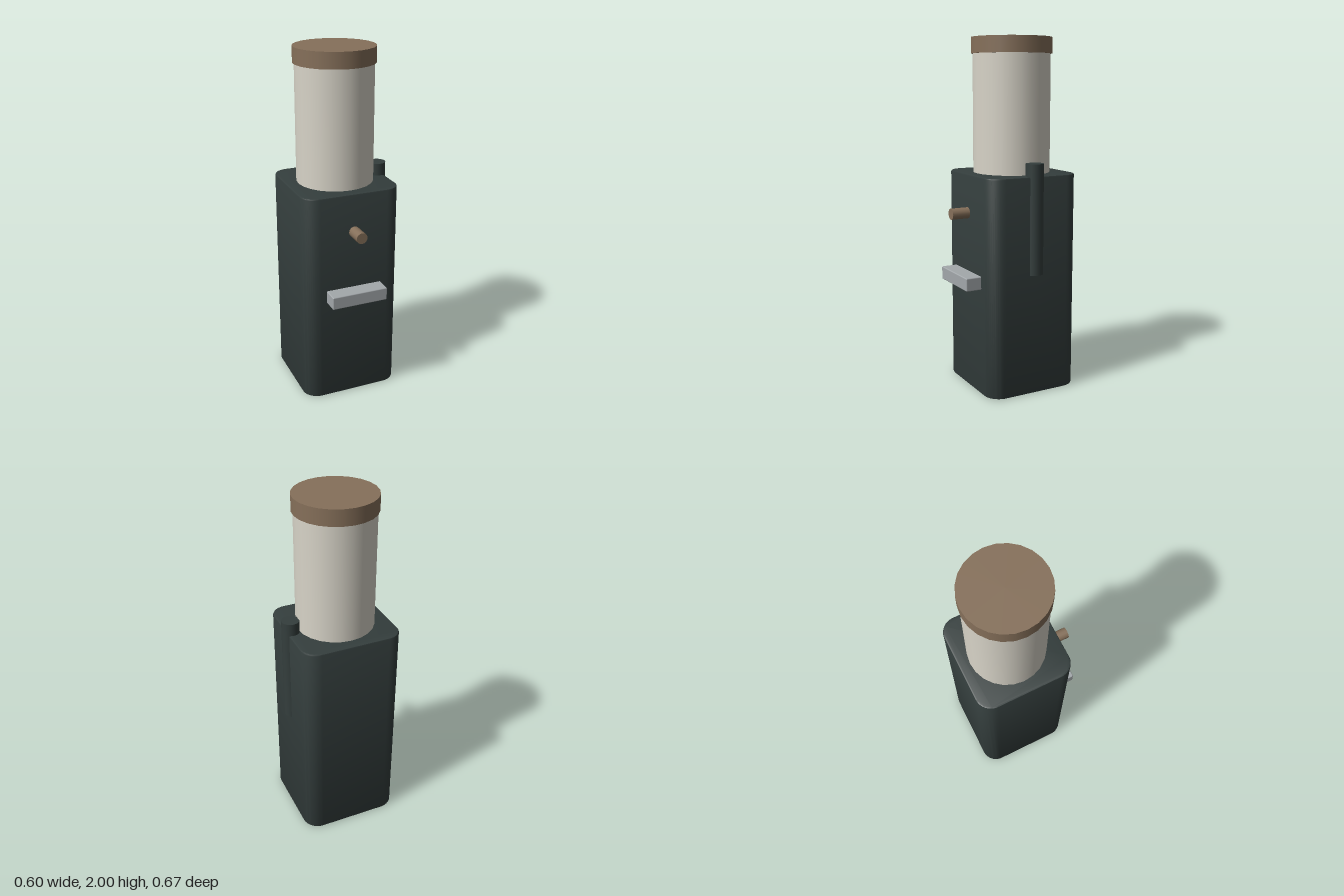
import * as THREE from 'three';
import { toCreasedNormals } from 'three/addons/utils/BufferGeometryUtils.js';
import { RoundedBoxGeometry } from 'three/addons/geometries/RoundedBoxGeometry.js';

const CX = -0.013, CZ = -0.053; // shared axis of body, tube and lid

function makeMaterial(name, color) {
  const m = new THREE.MeshStandardMaterial({ color });
  m.name = name;
  return m;
}

// Upright box with rounded corners and a tiny bevel at top and bottom
function roundedColumn(w, d, h, r, bevel) {
  const x = w / 2 - bevel, y = d / 2 - bevel, q = r - bevel;
  const s = new THREE.Shape();
  s.moveTo(x, y - q);
  s.absarc(x - q, y - q, q, 0, Math.PI / 2);
  s.absarc(-x + q, y - q, q, Math.PI / 2, Math.PI);
  s.absarc(-x + q, -y + q, q, Math.PI, Math.PI * 1.5);
  s.absarc(x - q, -y + q, q, Math.PI * 1.5, Math.PI * 2);
  const g = new THREE.ExtrudeGeometry(s, {
    depth: h - 2 * bevel, bevelEnabled: true, bevelSize: bevel,
    bevelThickness: bevel, bevelSegments: 2, curveSegments: 6,
  });
  g.rotateX(-Math.PI / 2).translate(0, bevel, 0);
  return toCreasedNormals(g, 0.6);
}

export function createModel() {
  const group = new THREE.Group();
  const dark = makeMaterial('dark green grey', 0x343e3d);
  const cream = makeMaterial('cream', 0xd8d4c8);
  const brown = makeMaterial('brown', 0x86705a);
  const silver = makeMaterial('silver', 0xa3a8ab);

  const add = (name, geometry, material, x, y, z) => {
    const mesh = new THREE.Mesh(geometry, material);
    mesh.name = name;
    mesh.position.set(x, y, z);
    group.add(mesh);
    return mesh;
  };
  // Upright cylinder between two heights
  const post = (name, r, y0, y1, sides, material, x) =>
    add(name, new THREE.CylinderGeometry(r, r, y1 - y0, sides), material, x, (y0 + y1) / 2, CZ);

  add('body', roundedColumn(0.578, 0.564, 1.245, 0.092, 0.008), dark, CX, 0, CZ);
  post('hopperTube', 0.22, 1.2, 1.92, 24, cream, CX);
  post('lid', 0.229, 1.91, 2, 24, brown, CX);
  post('sideHandle', 0.05, 0.695, 1.315, 20, dark, 0.251);

  // Front controls
  const knob = add('frontKnob', new THREE.CylinderGeometry(0.032, 0.032, 0.133, 16), brown, CX, 1.025, 0.2665);
  knob.rotation.x = Math.PI / 2;
  add('frontLedge', new RoundedBoxGeometry(0.331, 0.075, 0.12, 2, 0.006), silver, CX, 0.652, 0.26);

  return group;
}
